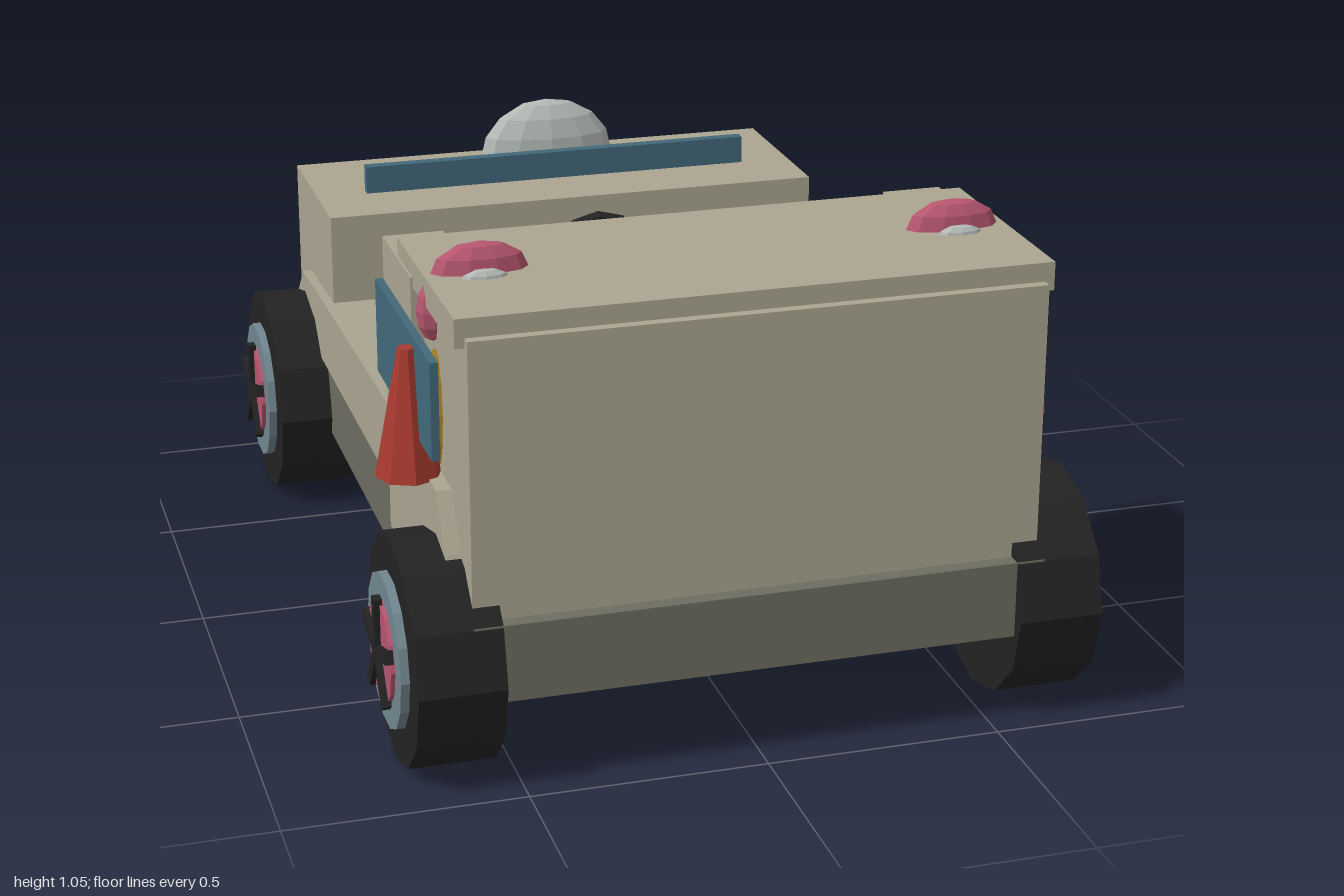
import * as THREE from 'three';

const mat = (name, color) => new THREE.MeshStandardMaterial({ name, color });
const M = {
  body: mat('tan body', 0xaba591),
  chassis: mat('grey chassis', 0x6d6d61),
  black: mat('black rubber', 0x232323),
  rim: mat('steel blue rim', 0x728790),
  pink: mat('pink', 0xb6566f),
  glass: mat('blue glass', 0x42697a),
  red: mat('red', 0xa83a30),
  ochre: mat('ochre', 0x9a7522),
  pale: mat('pale grey', 0xb3b8b5),
};

export function createModel() {
  const model = new THREE.Group();
  model.name = 'openCar';

  // Faceted mesh: unshared corners give flat normals
  function add(name, geo, material, parent = model) {
    const g = geo.index ? geo.toNonIndexed() : geo;
    g.computeVertexNormals();
    const mesh = new THREE.Mesh(g, material);
    mesh.name = name;
    parent.add(mesh);
    return mesh;
  }
  // Box given by its limits on each axis
  function box(name, material, [x0, x1], [y0, y1], [z0, z1]) {
    const g = new THREE.BoxGeometry(Math.abs(x1 - x0), y1 - y0, z1 - z0);
    g.translate((x0 + x1) / 2, (y0 + y1) / 2, (z0 + z1) / 2);
    return add(name, g, material);
  }
  function ellipsoid(name, material, p, r, w = 8, h = 6) {
    const g = new THREE.SphereGeometry(1, w, h);
    g.scale(...r).translate(...p);
    return add(name, g, material);
  }
  // Side profile in (z, y), extruded across x
  function sidePanel(name, material, points, x0, x1) {
    const shape = new THREE.Shape(points.map(p => new THREE.Vector2(...p)));
    const depth = Math.abs(x1 - x0);
    const g = new THREE.ExtrudeGeometry(shape, { depth, bevelEnabled: false });
    g.rotateY(-Math.PI / 2).translate(Math.max(x0, x1), 0, 0);
    return add(name, g, material);
  }

  // Chassis, hood and cabin shell
  box('chassis', M.chassis, [-0.6, 0.6], [0.2, 0.365], [-0.97, 0.97]);
  box('hood', M.body, [-0.59, 0.59], [0.365, 0.75], [-0.935, -0.495]);
  box('cabinEndWall', M.body, [-0.595, 0.595], [0.365, 0.95], [0.88, 0.937]);
  box('roof', M.body, [-0.615, 0.615], [0.93, 0.99], [0.4, 0.915]);

  for (const s of [-1, 1]) {
    // Cabin side, pillar, fender and long side rail
    box('cabinSide', M.body, [s * 0.53, s * 0.594], [0.365, 0.945], [0.4, 0.9]);
    box('pillar', M.body, [s * 0.49, s * 0.62], [0.295, 0.952], [0.27, 0.545]);
    sidePanel('fender', M.body,
      [[0.5, 0.38], [0.88, 0.38], [0.84, 0.47], [0.77, 0.58], [0.5, 0.58]], s * 0.56, s * 0.626);
    sidePanel('sideRail', M.body,
      [[0.4, 0.38], [0.4, 0.567], [0.27, 0.563], [-0.5, 0.54], [-0.78, 0.528], [-0.85, 0.46], [-0.85, 0.38]],
      s * 0.465, s * 0.612);
    box('sideWindow', M.glass, [s * 0.625, s * 0.642], [0.662, 0.867], [0.29, 0.813]);

    // Cone lamp on the window with an amber lamp behind
    add('sideCone', new THREE.CylinderGeometry(0.018, 0.07, 0.27, 8)
      .translate(s * 0.655, 0.71, 0.652), M.red);
    ellipsoid('amberLamp', M.ochre, [s * 0.59, 0.712, 0.652], [0.024, 0.13, 0.055]);

    // Roof lamps
    ellipsoid('roofLamp', M.pink, [s * 0.5, 0.99, 0.643], [0.1, 0.06, 0.037], 10, 6);
    ellipsoid('roofLampLens', M.pale, [s * 0.5, 0.985, 0.69], [0.05, 0.022, 0.02]);
    ellipsoid('sideLamp', M.pink, [s * 0.597, 0.915, 0.645], [0.034, 0.065, 0.03]);

    // Lamps and vents on the hood
    box('headlight', M.pale, [s * 0.335, s * 0.505], [0.55, 0.626], [-0.97, -0.935]);
    box('domeVent', M.black, [s * 0.03, s * 0.115], [0.75, 0.785], [-0.845, -0.815]);
  }

  // Dome and low windscreen
  ellipsoid('hoodDome', M.pale, [0, 0.78, -0.765], [0.165, 0.14, 0.063], 12, 8);
  box('windscreen', M.glass, [-0.47, 0.47], [0.75, 0.815], [-0.687, -0.66]);

  // Grille
  box('grille', M.black, [-0.285, 0.285], [0.385, 0.525], [-0.968, -0.93]);
  for (let i = -2; i <= 2; i++) {
    box('grilleBar', M.rim, [i * 0.1 - 0.01, i * 0.1 + 0.01], [0.4, 0.51], [-0.982, -0.96]);
  }

  // Seat
  box('seatCushion', M.black, [-0.215, 0.215], [0.365, 0.43], [-0.09, 0.38]);
  const back = new THREE.Shape();
  [[-0.215, 0.4], [0.215, 0.4], [0.215, 0.59], [0.18, 0.63], [-0.18, 0.63], [-0.215, 0.59]]
    .forEach((p, i) => (i ? back.lineTo(...p) : back.moveTo(...p)));
  add('seatBack', new THREE.ExtrudeGeometry(back, { depth: 0.11, bevelEnabled: false })
    .translate(0, 0, 0.28), M.black);
  box('seatBackPanel', M.chassis, [-0.165, 0.165], [0.44, 0.595], [0.265, 0.28]);

  // Steering wheel and column
  add('steeringWheel', new THREE.TorusGeometry(0.102, 0.018, 6, 12).translate(0, 0.66, -0.287), M.black);
  box('steeringSpoke', M.rim, [-0.1, 0.1], [0.645, 0.675], [-0.297, -0.28]);
  const column = new THREE.LineCurve3(new THREE.Vector3(0, 0.66, -0.287), new THREE.Vector3(0, 0.36, -0.475));
  add('steeringColumn', new THREE.TubeGeometry(column, 1, 0.013, 6), M.rim);

  // Wheels, built with the axle along x
  const disc = (r, x0, x1, sides) =>
    new THREE.CylinderGeometry(r, r, x1 - x0, sides).rotateZ(-Math.PI / 2).translate((x0 + x1) / 2, 0, 0);
  for (const s of [-1, 1]) for (const z of [-0.757, 0.76]) {
    const wheel = new THREE.Group();
    wheel.name = 'wheel';
    wheel.position.set(0, 0.242, z);
    wheel.rotation.y = s > 0 ? 0 : Math.PI;
    add('tyre', disc(0.242, 0.54, 0.72, 12).rotateX(Math.PI / 2), M.black, wheel);
    add('rim', disc(0.163, 0.71, 0.738, 14), M.rim, wheel);
    add('hub', disc(0.11, 0.73, 0.747, 12), M.pink, wheel);
    for (let i = 0; i < 5; i++) {
      const spoke = new THREE.BoxGeometry(0.017, 0.12, 0.028).translate(0.75, 0.058, 0);
      add('spoke', spoke.rotateX(i * Math.PI * 2 / 5), M.black, wheel);
    }
    model.add(wheel);
  }
  return model;
}
